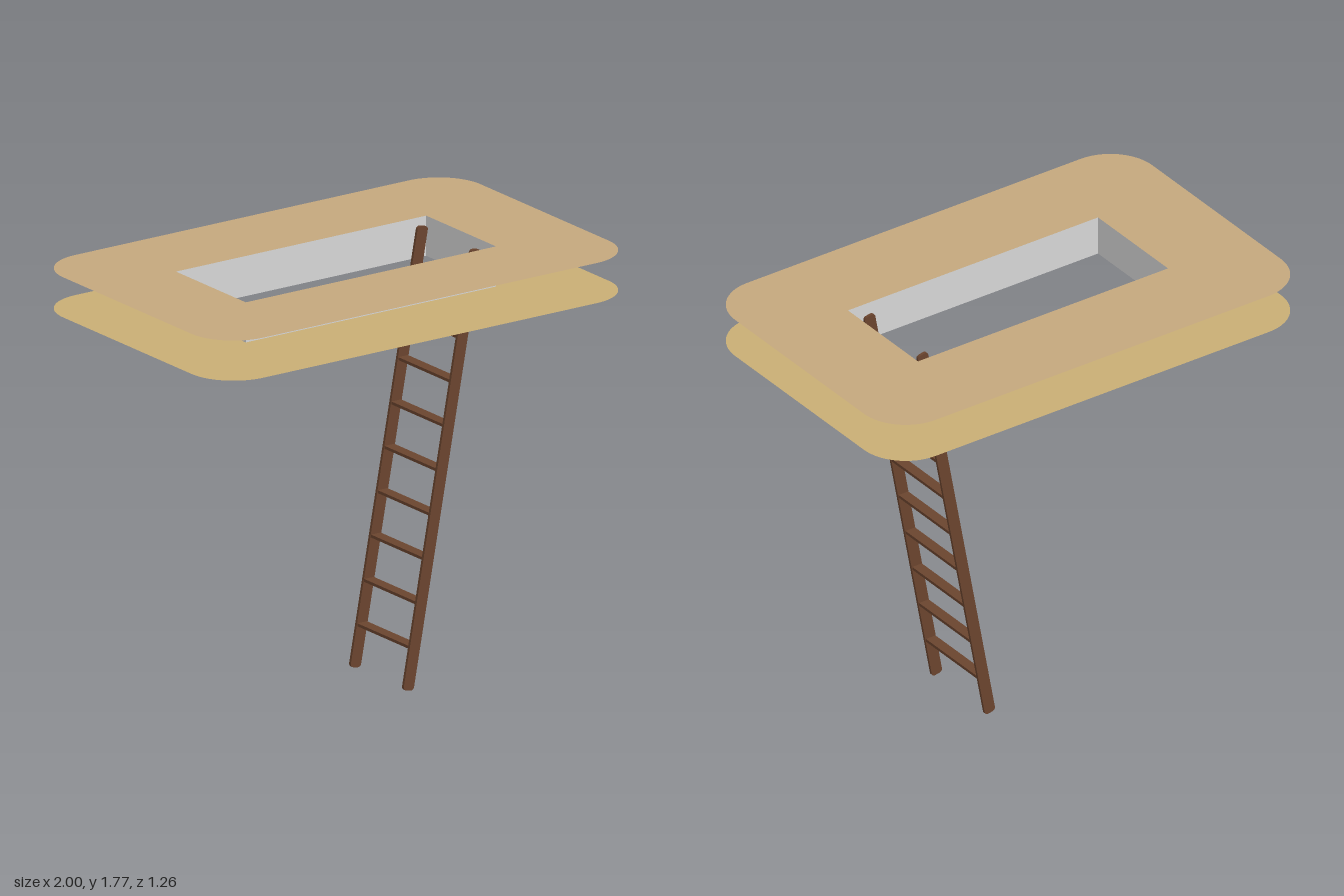
import * as THREE from 'three';

const TOP = 1.77, LOW = 1.605;      // heights of floor and ceiling sheets
const HX = 0.6, HZ = 0.235;         // half size of the hatch opening

function flat(name, color) {
  const m = new THREE.MeshStandardMaterial({ color, side: THREE.DoubleSide });
  m.name = name;
  return m;
}

// Rounded rectangle centred on the origin
function roundedRect(hx, hy, r) {
  const s = new THREE.Shape();
  s.absarc(hx - r, hy - r, r, 0, Math.PI / 2);
  s.absarc(-hx + r, hy - r, r, Math.PI / 2, Math.PI);
  s.absarc(-hx + r, -hy + r, r, Math.PI, Math.PI * 1.5);
  s.absarc(hx - r, -hy + r, r, Math.PI * 1.5, Math.PI * 2);
  s.closePath();
  return s;
}

export function createModel() {
  const model = new THREE.Group();
  const floorWood = flat('floor tan', 0xc4a77d);
  const ceilingWood = flat('ceiling sand', 0xc8ad74);
  const wallGrey = flat('shaft grey', 0xd6d6d6);
  const ladderWood = flat('ladder brown', 0x6a442e);

  const add = (name, geo, mat, x, y, z, parent = model) => {
    const mesh = new THREE.Mesh(geo, mat);
    mesh.name = name;
    mesh.position.set(x, y, z);
    parent.add(mesh);
    return mesh;
  };

  // Floor and ceiling sheets with the hatch cut out
  const sheet = roundedRect(1, 0.632, 0.2);
  sheet.holes.push(new THREE.Path([[-HX, -HZ], [-HX, HZ], [HX, HZ], [HX, -HZ]]
    .map(([x, y]) => new THREE.Vector2(x, y))));
  const sheetGeo = new THREE.ShapeGeometry(sheet, 12).rotateX(-Math.PI / 2);
  add('floorSheet', sheetGeo, floorWood, 0, TOP, 0);
  add('ceilingSheet', sheetGeo, ceilingWood, 0, LOW, 0);

  // Four thin walls lining the shaft
  const h = TOP - LOW, midY = (TOP + LOW) / 2;
  for (const s of [-1, 1]) {
    const long = add('longShaftWall', new THREE.PlaneGeometry(HX * 2, h), wallGrey, 0, midY, s * HZ);
    const short = add('shortShaftWall', new THREE.PlaneGeometry(HZ * 2, h), wallGrey, s * HX, midY, 0);
    long.rotation.y = s > 0 ? 0 : Math.PI;
    short.rotation.y = s * Math.PI / 2;
  }

  // Leaning ladder
  const ladder = new THREE.Group();
  ladder.name = 'ladder';
  model.add(ladder);
  const foot = new THREE.Vector2(0.216, 0.003), head = new THREE.Vector2(0.541, 1.755);
  const lean = Math.atan2(head.x - foot.x, head.y - foot.y);
  const railShape = roundedRect(0.025, foot.distanceTo(head) / 2, 0.015);
  const railGeo = new THREE.ExtrudeGeometry(railShape, { depth: 0.012, bevelEnabled: false, curveSegments: 5 });
  railGeo.translate(0, 0, -0.006).rotateZ(-lean);
  for (const s of [-1, 1]) {
    add('ladderRail', railGeo, ladderWood, (foot.x + head.x) / 2, (foot.y + head.y) / 2, s * 0.178, ladder);
  }

  // Nine level treads between the rails
  const rungGeo = new THREE.BoxGeometry(0.046, 0.012, 0.346);
  for (let i = 1; i <= 9; i++) {
    const y = i * 0.1762;
    const x = foot.x + (y - foot.y) * Math.tan(lean);
    add('ladderRung', rungGeo, ladderWood, x, y, 0, ladder);
  }
  return model;
}
